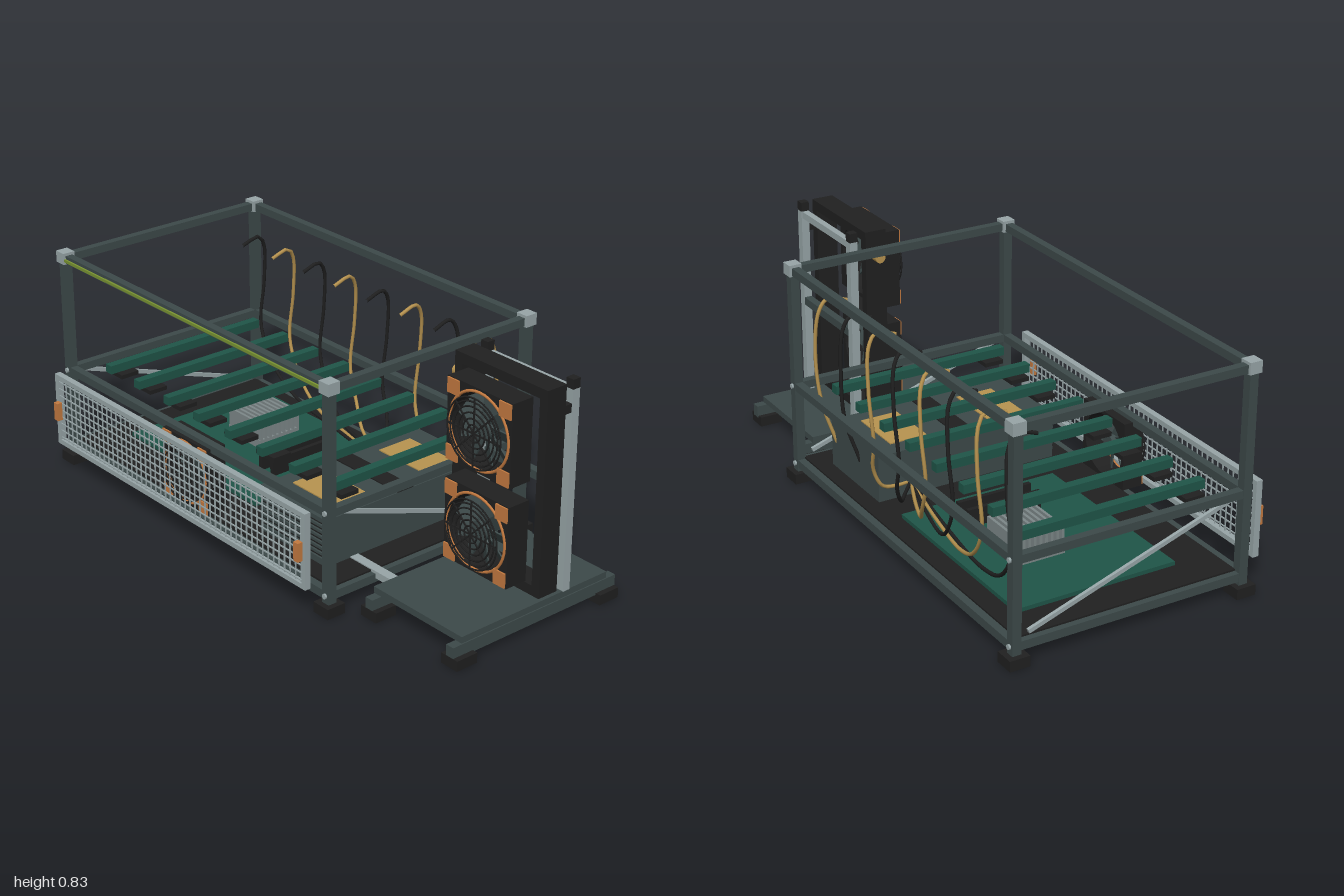
import * as THREE from 'three';

const mat = (name, color) => {
  const m = new THREE.MeshStandardMaterial({ color });
  m.name = name;
  return m;
};

export function createModel() {
  const frameMat = mat('slate frame', 0x3d4a4a);
  const alu = mat('pale aluminium', 0x98a6a8);
  const black = mat('black', 0x202020);
  const green = mat('board green', 0x1f5548);
  const copper = mat('copper', 0xc47a40);
  const gold = mat('brass', 0xb89450);
  const olive = mat('olive light strip', 0x7a9432);
  const steel = mat('steel grey', 0x7d8889);

  const model = new THREE.Group();
  model.name = 'openComputeRack';

  const add = (name, geo, m, x = 0, y = 0, z = 0, parent = model) => {
    const mesh = new THREE.Mesh(geo, m);
    mesh.name = name;
    mesh.position.set(x, y, z);
    parent.add(mesh);
    return mesh;
  };
  // Box given by its extents on each axis
  const box = (name, m, x0, x1, y0, y1, z0, z1, parent = model) =>
    add(name, new THREE.BoxGeometry(x1 - x0, y1 - y0, z1 - z0), m,
      (x0 + x1) / 2, (y0 + y1) / 2, (z0 + z1) / 2, parent);
  const group = (name) => {
    const g = new THREE.Group();
    g.name = name;
    model.add(g);
    return g;
  };

  // Main frame: posts, feet, caps, rails
  const XL = -0.963, XR = 0.472, ZF = 0.387, ZB = -0.453, h = 0.016;
  const frame = group('mainFrame');
  for (const x of [XL, XR]) {
    for (const z of [ZF, ZB]) {
      box('post', frameMat, x - h, x + h, 0.03, 0.79, z - h, z + h, frame);
      box('foot', black, x - 0.036, x + 0.036, 0, 0.037, z - 0.036, z + 0.036, frame);
      box('cornerCap', alu, x - 0.023, x + 0.023, 0.77, 0.811, z - 0.023, z + 0.023, frame);
      for (const y of [0.065, 0.36]) {
        const s = z > 0 ? 1 : -1;
        const bolt = add('bolt', new THREE.CylinderGeometry(0.009, 0.009, 0.008, 10), alu, x, y, z + s * 0.019, frame);
        bolt.rotation.x = Math.PI / 2;
      }
    }
  }
  for (const [y0, y1] of [[0.05, 0.08], [0.346, 0.374], [0.773, 0.801]]) {
    for (const z of [ZF, ZB]) box('longRail', frameMat, XL, XR, y0, y1, z - 0.014, z + 0.014, frame);
    for (const x of [XL, XR]) box('sideRail', frameMat, x - 0.014, x + 0.014, y0, y1, ZB, ZF, frame);
  }
  box('lightStrip', olive, -0.94, 0.45, 0.78, 0.79, 0.401, 0.408, frame);
  box('floorPlate', black, -0.955, 0.464, 0.074, 0.086, -0.44, 0.372, frame);

  // Diagonal braces on both ends
  for (const x of [XL, XR]) {
    const a = new THREE.Vector3(x, 0.35, 0.34), b = new THREE.Vector3(x, 0.1, -0.405);
    const brace = add('diagonalBrace', new THREE.BoxGeometry(0.012, 0.014, a.distanceTo(b)), alu,
      x, 0.225, -0.032, frame);
    brace.lookAt(a);
  }

  // Circuit cards carried across the frame, with end clips
  const cardX = [-0.856, -0.684, -0.508, -0.337, -0.162, 0.01, 0.18, 0.353];
  const cards = group('cardRow');
  for (const x of cardX) {
    box('card', green, x - 0.016, x + 0.016, 0.355, 0.386, -0.37, 0.3, cards);
    box('cardClip', black, x - 0.048, x + 0.048, 0.34, 0.355, 0.205, 0.277, cards);
  }

  // Main board with heatsink and memory
  const board = group('mainBoard');
  box('boardPlate', green, -0.84, -0.117, 0.088, 0.102, -0.37, 0.22, board);
  box('heatsinkBase', steel, -0.615, -0.433, 0.102, 0.135, -0.23, -0.05, board);
  for (let i = 0; i < 9; i++) {
    const z = -0.225 + i * 0.021;
    box('heatsinkFin', steel, -0.615, -0.433, 0.13, 0.2, z - 0.005, z + 0.005, board);
  }
  for (const x of [-0.305, -0.242]) box('memoryStick', black, x - 0.008, x + 0.008, 0.1, 0.165, -0.23, 0.05, board);

  // Power supply
  const psu = group('powerSupply');
  box('supplyCase', frameMat, 0.022, 0.36, 0.085, 0.256, -0.38, 0.306, psu);
  box('supplyBand', black, 0.022, 0.36, 0.256, 0.26, -0.07, 0, psu);
  for (const [z0, z1] of [[-0.3, -0.16], [0.08, 0.22]]) box('supplyLabel', gold, 0.085, 0.295, 0.256, 0.26, z0, z1, psu);
  box('grilleBack', black, 0.035, 0.35, 0.105, 0.24, 0.306, 0.308, psu);
  for (let i = 0; i < 7; i++) box('grilleSlat', frameMat, 0.032, 0.352, 0.108 + i * 0.02, 0.117 + i * 0.02, 0.306, 0.315, psu);

  // Fan built around its own centre; s is the width of the square body
  function fan(name, cx, cy, zBack, depth, s) {
    const g = group(name);
    g.position.set(cx, cy, zBack);
    const q = s / 2;
    const sq = new THREE.Shape([[-q, -q], [q, -q], [q, q], [-q, q]].map(p => new THREE.Vector2(...p)));
    sq.holes.push(new THREE.Path().absarc(0, 0, s * 0.45, 0, Math.PI * 2, true));
    add('fanHousing', new THREE.ExtrudeGeometry(sq, { depth, bevelEnabled: false, curveSegments: 20 }), black, 0, 0, 0, g);
    for (const i of [-1, 1]) for (const j of [-1, 1])
      add('cornerPad', new THREE.BoxGeometry(s * 0.18, s * 0.18, 0.008), copper, i * s * 0.4, j * s * 0.4, depth + 0.002, g);
    add('trimRing', new THREE.TorusGeometry(s * 0.46, s * 0.018, 8, 40), copper, 0, 0, depth, g);
    const hub = add('hub', new THREE.CylinderGeometry(s * 0.12, s * 0.12, depth * 0.6, 20), frameMat, 0, 0, depth * 0.55, g);
    hub.rotation.x = Math.PI / 2;
    for (let i = 0; i < 9; i++) {
      const arm = new THREE.Group();
      arm.name = 'bladeArm';
      arm.position.z = depth * 0.6;
      arm.rotation.z = i * Math.PI * 2 / 9;
      g.add(arm);
      const blade = add('blade', new THREE.BoxGeometry(s * 0.3, s * 0.17, 0.005), frameMat, s * 0.25, 0, 0, arm);
      blade.rotation.x = 0.5;
    }
    // Wire guard
    const zg = depth + 0.022;
    for (const r of [0.1, 0.17, 0.24, 0.31, 0.37, 0.415])
      add('guardRing', new THREE.TorusGeometry(s * r, 0.003, 5, 36), black, 0, 0, zg, g);
    for (let i = 0; i < 4; i++) {
      const spoke = add('guardSpoke', new THREE.BoxGeometry(s * 0.83, 0.005, 0.004), black, 0, 0, zg, g);
      spoke.rotation.z = i * Math.PI / 4;
    }
  }
  fan('frontFan', -0.245, 0.236, 0.34, 0.076, 0.245);
  fan('lowerTowerFan', 0.772, 0.293, -0.045, 0.086, 0.285);
  fan('upperTowerFan', 0.772, 0.643, -0.045, 0.086, 0.285);

  // Front mesh screen
  const screen = group('meshScreen');
  const sx0 = -0.945, sx1 = 0.452, sy0 = 0.1, sy1 = 0.372;
  for (const y of [sy0, sy1 - 0.018]) box('screenRail', alu, sx0, sx1, y, y + 0.018, 0.447, 0.47, screen);
  for (const x of [sx0, sx1 - 0.018]) box('screenStile', alu, x, x + 0.018, sy0, sy1, 0.447, 0.47, screen);
  for (let i = 1; i < 50; i++) {
    const x = sx0 + (sx1 - sx0) * i / 50;
    box('uprightWire', alu, x - 0.002, x + 0.002, sy0, sy1, 0.46, 0.464, screen);
  }
  for (let i = 1; i < 10; i++) {
    const y = sy0 + (sy1 - sy0) * i / 10;
    box('crossWire', alu, sx0, sx1, y - 0.002, y + 0.002, 0.464, 0.468, screen);
  }
  for (const x of [-0.92, 0.43]) box('screenLatch', copper, x - 0.011, x + 0.011, 0.203, 0.27, 0.47, 0.49, screen);

  // Side platform and its link arms
  const platform = group('sidePlatform');
  box('platformDeck', frameMat, 0.565, 0.972, 0.074, 0.097, -0.355, 0.28, platform);
  for (const x of [0.585, 0.96]) {
    box('platformRail', frameMat, x - 0.016, x + 0.016, 0.03, 0.074, -0.393, 0.318, platform);
    for (const z of [0.277, -0.348]) box('platformFoot', black, x - 0.036, x + 0.036, 0, 0.036, z - 0.042, z + 0.042, platform);
  }
  for (const z of [-0.262, 0.187]) box('linkArm', alu, 0.36, 0.72, 0.064, 0.09, z - 0.017, z + 0.017, platform);

  // Cooling tower: radiator frame, rear stand and pipe fittings
  const tower = group('coolingTower');
  const tx0 = 0.568, tx1 = 0.974;
  for (const [x0, x1] of [[tx0, tx0 + 0.032], [tx1 - 0.032, tx1]])
    box('radiatorSide', black, x0, x1, 0.11, 0.825, -0.125, -0.045, tower);
  for (const [y0, y1] of [[0.11, 0.145], [0.79, 0.825]])
    box('radiatorEnd', black, tx0, tx1, y0, y1, -0.125, -0.045, tower);
  for (const x of [0.584, 0.958]) {
    box('standPost', alu, x - 0.015, x + 0.015, 0.095, 0.797, -0.185, -0.155, tower);
    box('standTip', black, x - 0.015, x + 0.015, 0.797, 0.83, -0.185, -0.155, tower);
    box('standBracket', black, x - 0.012, x + 0.012, 0.72, 0.75, -0.157, -0.12, tower);
  }
  box('standTopBar', alu, 0.584, 0.958, 0.772, 0.797, -0.182, -0.158, tower);
  box('standMidBar', frameMat, 0.57, 0.972, 0.437, 0.466, -0.184, -0.156, tower);
  for (const y of [0.165, 0.735]) {
    const fit = add('pipeFitting', new THREE.CylinderGeometry(0.019, 0.019, 0.04, 16), gold, 0.552, y, -0.085, tower);
    fit.rotation.z = Math.PI / 2;
  }

  // Hooked cables from above each card down to the power supply
  const cables = group('cables');
  cardX.forEach((x, i) => {
    const path = [[x, 0.69, -0.312], [x, 0.71, -0.385], [x - 0.008, 0.67, -0.417], [x - 0.025, 0.52, -0.43]];
    if (i < 6) {
      const end = 0.025, k = end - x;
      path.push([x - 0.035, 0.34, -0.42], [x + k * 0.05, 0.22, -0.405],
        [x + k * 0.25, 0.15, -0.37], [x + k * 0.6, 0.135, -0.32], [end, 0.135, -0.255]);
    } else {
      path.forEach(p => { p[0] = x + (i - 6) * (0.7 - p[1]) * 0.08; });
      path.push([x, 0.34, -0.42], [x - 0.02, 0.18, -0.375]);
    }
    const curve = new THREE.CatmullRomCurve3(path.map(p => new THREE.Vector3(...p)));
    add('cable', new THREE.TubeGeometry(curve, 40, 0.0065, 6), i % 2 ? gold : black, 0, 0, 0, cables);
  });

  return model;
}
